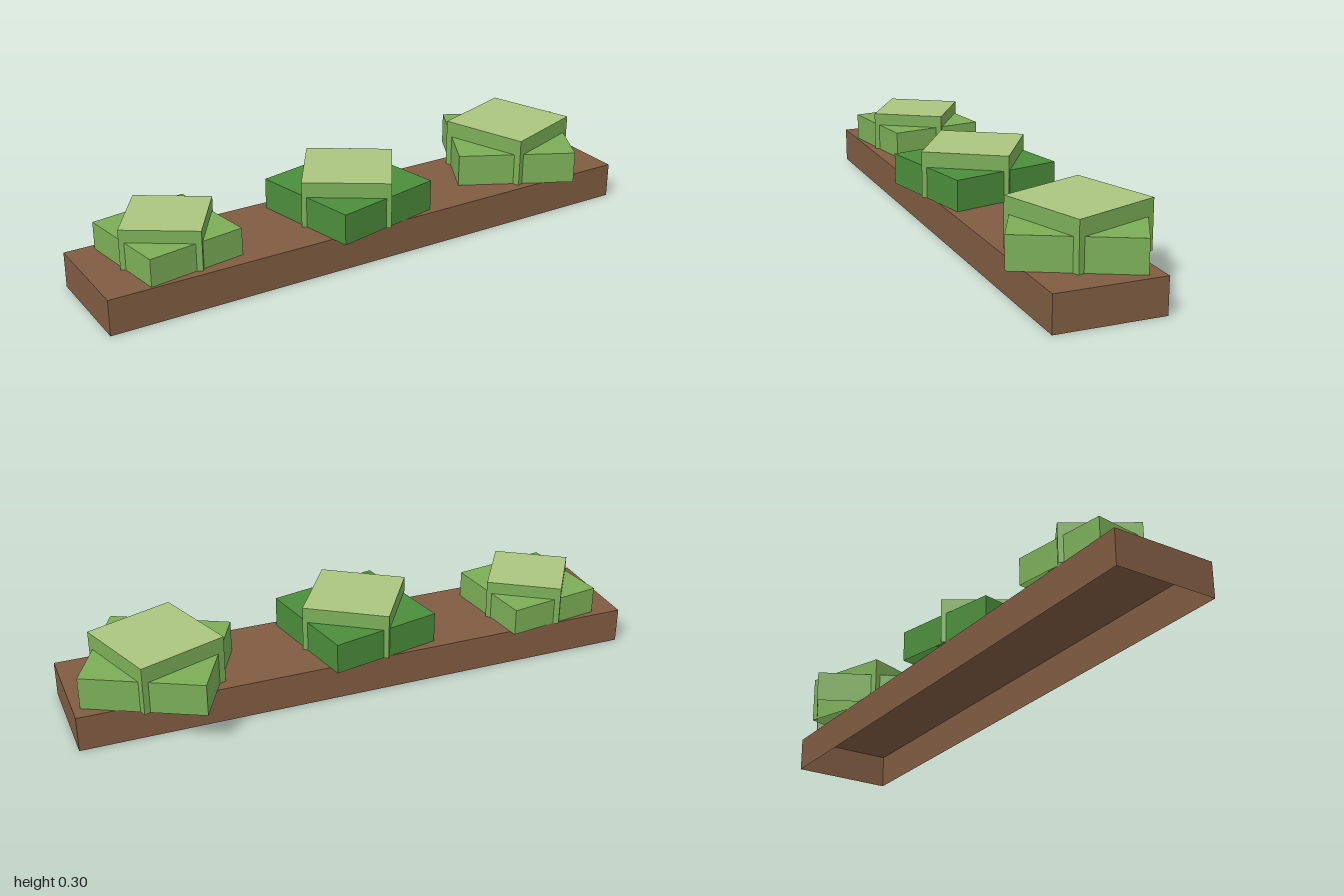
import * as THREE from 'three';

function flat(name, color) {
  const m = new THREE.MeshStandardMaterial({ color, side: THREE.DoubleSide });
  m.name = name;
  return m;
}

// Box standing on y = 0 with no underside; group 0 is the walls, group 1 the top
function openBox(width, height, depth) {
  const geometry = new THREE.BoxGeometry(width, height, depth);
  geometry.translate(0, height / 2, 0);
  const index = Array.from(geometry.index.array);
  index.splice(18, 6);
  geometry.setIndex(index);
  geometry.clearGroups();
  geometry.addGroup(0, 12, 0);
  geometry.addGroup(12, 6, 1);
  geometry.addGroup(18, 12, 0);
  return geometry;
}

export function createModel() {
  const soil = flat('soilBrown', 0x805c42);
  const leaf = flat('leafGreen', 0x7bae57);
  const darkLeaf = flat('darkLeafGreen', 0x4b8d3b);
  const paleLeaf = flat('paleLeafGreen', 0xabc57f);

  const model = new THREE.Group();
  model.name = 'plantBed';
  const bedHeight = 0.125;

  // Long soil bed, hollow underneath
  const bed = new THREE.Mesh(openBox(2, bedHeight, 0.375), [soil, soil]);
  bed.name = 'soilBed';
  bed.position.z = 0.036;
  model.add(bed);

  // Three plants, each a wide outer block with a taller twisted heart
  const plants = [
    { name: 'smallPlant', x: -0.706, z: 0.02, outer: [0.346, 0.096, 0.147], heart: [0.264, 0.14, -0.582], color: leaf },
    { name: 'middlePlant', x: -0.035, z: 0.043, outer: [0.404, 0.109, 0.21], heart: [0.303, 0.163, -0.58], color: darkLeaf },
    { name: 'largePlant', x: 0.691, z: -0.007, outer: [0.421, 0.113, -0.475], heart: [0.321, 0.17, 0.34], color: leaf },
  ];
  for (const p of plants) {
    const plant = new THREE.Group();
    plant.name = p.name;
    plant.position.set(p.x, bedHeight, p.z);
    const addBlock = (name, [size, height, turn], materials) => {
      const block = new THREE.Mesh(openBox(size, height, size), materials);
      block.name = name;
      block.rotation.y = turn;
      plant.add(block);
    };
    addBlock('outerLeaves', p.outer, [p.color, p.color]);
    addBlock('heartLeaves', p.heart, [leaf, paleLeaf]);
    model.add(plant);
  }
  return model;
}
